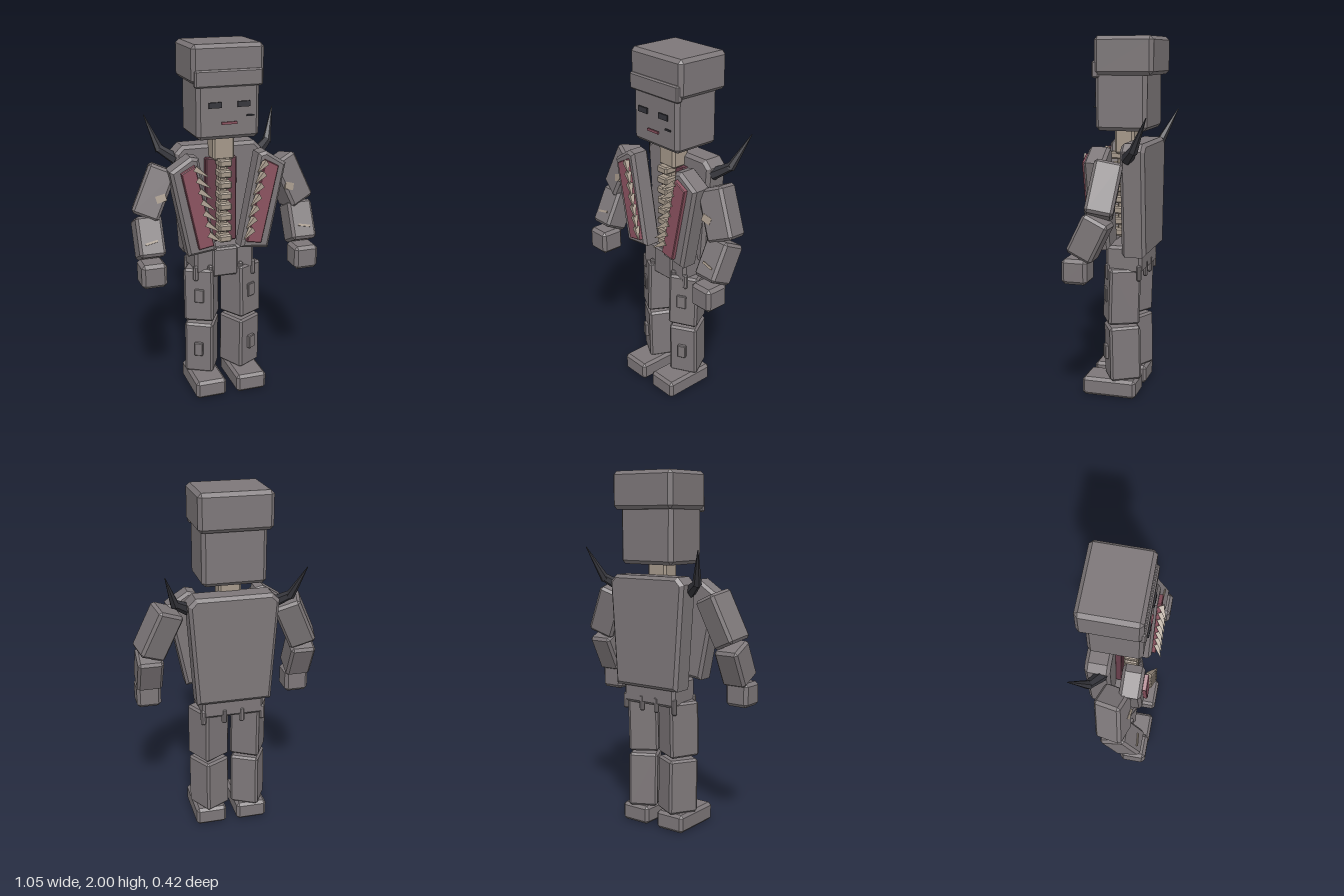
import * as THREE from 'three';
import { ConvexGeometry } from 'three/addons/geometries/ConvexGeometry.js';

const mat = (name, color) => {
  const m = new THREE.MeshStandardMaterial({ color });
  m.name = name;
  return m;
};

// Box with chamfered edges
function chamferBox(w, h, d, b) {
  const pts = [];
  for (const x of [-1, 1]) for (const y of [-1, 1]) for (const z of [-1, 1]) {
    const X = x * w / 2, Y = y * h / 2, Z = z * d / 2;
    pts.push(new THREE.Vector3(X, Y - y * b, Z - z * b),
      new THREE.Vector3(X - x * b, Y, Z - z * b),
      new THREE.Vector3(X - x * b, Y - y * b, Z));
  }
  return new ConvexGeometry(pts);
}

// Bevelled slab with a polygon outline between two depths
function slabGeometry(outline, z0, z1, b) {
  const shape = new THREE.Shape(outline.map(([x, y]) => new THREE.Vector2(x, y)));
  const g = new THREE.ExtrudeGeometry(shape, {
    depth: z1 - z0 - 2 * b, bevelEnabled: b > 0, bevelSegments: 1,
    bevelSize: b, bevelOffset: -b, bevelThickness: b,
  });
  return g.translate(0, 0, z0 + b);
}

export function createModel() {
  const root = new THREE.Group();
  root.name = 'figure';
  const grey = mat('grey', 0x7d7779);
  const maroon = mat('maroon', 0x8c5360);
  const cavityRed = mat('darkMaroon', 0x693f4b);
  const bone = mat('bone', 0xa5988a);
  const dark = mat('dark', 0x35353b);

  function add(name, geometry, material, pos = [0, 0, 0], rot = [0, 0, 0]) {
    const m = new THREE.Mesh(geometry, material);
    m.name = name;
    m.position.set(...pos);
    m.rotation.set(...rot);
    root.add(m);
    return m;
  }
  const block = (name, size, pos, rot, material = grey, b = 0.015) =>
    add(name, chamferBox(...size, b), material, pos, rot);
  const plate = (name, size, pos, rot, material) =>
    add(name, new THREE.BoxGeometry(...size), material, pos, rot);

  // Faceted spike from point a to point b
  function spike(name, a, b, r0, r1, sides, material) {
    const A = new THREE.Vector3(...a), B = new THREE.Vector3(...b);
    const dir = B.clone().sub(A);
    const g = new THREE.CylinderGeometry(r1, r0, dir.length(), sides).toNonIndexed();
    g.computeVertexNormals();
    const m = add(name, g, material, A.clone().add(B).multiplyScalar(0.5).toArray());
    m.quaternion.setFromUnitVectors(new THREE.Vector3(0, 1, 0), dir.normalize());
  }

  // Head, cap and face
  block('head', [0.35, 0.34, 0.285], [0, 1.67, -0.016], [0, 0, 0], grey, 0.02);
  block('cap', [0.4, 0.205, 0.325], [0, 1.8975, -0.036], [0, 0, 0], grey, 0.02);
  block('capBand', [0.375, 0.09, 0.04], [0, 1.825, 0.12], [0, 0, 0], grey, 0.008);
  for (const s of [-1, 1]) {
    plate('eye', [0.07, 0.03, 0.009], [s * 0.08, 1.688, 0.139], [0, 0, 0], dark);
  }
  plate('mouth', [0.085, 0.013, 0.009], [0, 1.59, 0.139], [0, 0, 0], maroon);
  plate('cheekScar', [0.042, 0.008, 0.009], [0.117, 1.625, 0.139], [0, 0, 0], dark);

  // Neck and exposed spine
  block('neck', [0.125, 0.15, 0.11], [0, 1.44, -0.005], [0, 0, 0], bone, 0.012);
  block('spineCore', [0.055, 0.5, 0.05], [0, 1.14, 0.02], [0, 0, 0], bone, 0.01);
  for (let i = 0; i < 8; i++) {
    block('vertebra', [0.075, 0.042, 0.08], [0, 0.92 + i * 0.062, 0.045], [0, 0, 0], bone, 0.008);
  }

  // Torso back, open chest cavity
  add('torsoBack', slabGeometry(
    [[-0.21, 0.82], [0.21, 0.82], [0.25, 1.40], [0.21, 1.44], [-0.21, 1.44], [-0.25, 1.40]],
    -0.165, -0.03, 0.018), grey);
  block('chestCavity', [0.18, 0.49, 0.04], [0, 1.125, -0.015], [0, 0, 0], cavityRed, 0.006);

  for (const s of [-1, 1]) {
    const mirror = pts => pts.map(([x, y]) => [s * x, y]);

    // Opened chest flap with its lining and row of teeth
    add('chestFlap', slabGeometry(mirror(
      [[0.17, 1.41], [0.215, 1.42], [0.33, 1.345], [0.232, 0.86], [0.07, 0.88]]),
      0.03, 0.145, 0.016), grey);
    add('flapLining', slabGeometry(mirror(
      [[0.2, 1.38], [0.275, 1.34], [0.18, 0.905], [0.095, 0.92]]),
      0.14, 0.168, 0.004), maroon);
    for (let i = 0; i < 7; i++) {
      const t = i / 6, x = 0.185 - 0.075 * t, y = 1.345 - 0.375 * t;
      spike('tooth', [s * (x + 0.015), y + 0.02, 0.165], [s * (x - 0.045), y - 0.02, 0.2],
        0.022, 0.003, 4, bone);
    }

    // Shoulder horn in two segments
    spike('hornBase', [s * 0.235, 1.36, -0.07], [s * 0.318, 1.415, -0.125], 0.034, 0.024, 6, dark);
    spike('hornTip', [s * 0.315, 1.405, -0.122], [s * 0.38, 1.59, -0.21], 0.026, 0.002, 6, dark);

    // Arm
    block('upperArm', [0.155, 0.285, 0.15], [s * 0.39, 1.215, 0.012], [-0.2, s * 0.22, s * 0.43]);
    block('forearm', [0.145, 0.225, 0.15], [s * 0.44, 0.975, 0.07], [-0.46, 0, 0]);
    block('hand', [0.14, 0.135, 0.14], [s * 0.442, 0.797, 0.14], [0, 0, 0], grey, 0.018);
    plate('upperArmScar', [0.055, 0.04, 0.009], [s * 0.37, 1.197, 0.096], [-0.2, s * 0.22, s * -0.25], bone);
    plate('forearmScar', [0.07, 0.012, 0.009], [s * 0.443, 0.975, 0.155], [-0.46, 0, s * -0.2], bone);

    // Leg turned outward, foot facing forward
    const turn = s * 0.5;
    block('thigh', [0.17, 0.315, 0.175], [s * 0.118, 0.587, -0.008], [-0.03, turn, 0], grey, 0.012);
    block('shin', [0.165, 0.31, 0.175], [s * 0.117, 0.257, -0.012], [0.02, turn, 0], grey, 0.012);
    block('foot', [0.18, 0.105, 0.31], [s * 0.122, 0.0525, 0.047], [0, 0, 0], grey, 0.016);
    block('thighPatch', [0.055, 0.08, 0.02], [s * 0.155, 0.59, 0.072], [0, turn, 0], grey, 0.004);
    block('shinPatch', [0.05, 0.08, 0.025], [s * 0.16, 0.255, 0.072], [0, turn, 0], grey, 0.004);

    // Hip tabs at the corners of the pelvis
    for (const [x, z] of [[0.17, 0.06], [0.09, 0.075], [0.17, -0.12], [0.05, -0.125]]) {
      block('hipTab', [0.03, 0.09, 0.025], [s * x, 0.725, z], [0, 0, 0], grey, 0.008);
    }
  }

  // Pelvis and front panel
  block('pelvis', [0.35, 0.15, 0.205], [0, 0.795, -0.032]);
  block('frontPanel', [0.15, 0.17, 0.03], [0, 0.78, 0.065], [0, 0, 0], grey, 0.01);

  return root;
}
